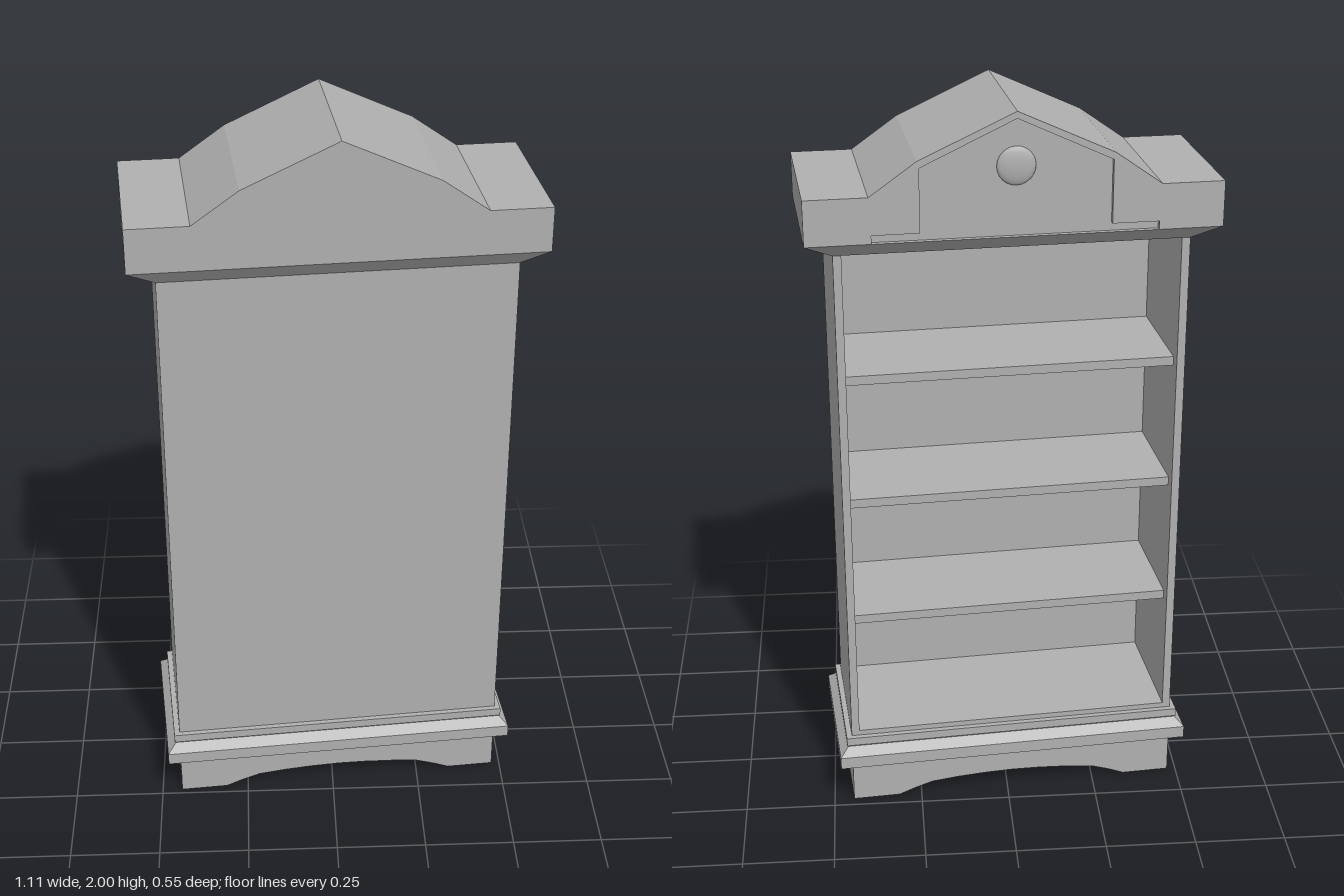
import * as THREE from 'three';

// Body limits: half width, back plane (open side) and front plane (closed side)
const HW = 0.462, ZB = -0.182, ZF = 0.195;
const CW = 0.535, CD = 0.226; // crown half width and half depth

export function createModel() {
  const model = new THREE.Group();
  const cabinet = new THREE.Group();
  cabinet.name = 'bookcase';
  cabinet.rotation.y = 0.0873; // the whole piece stands slightly turned
  model.add(cabinet);

  const grey = new THREE.MeshStandardMaterial({ color: 0xb0b0b0 });
  grey.name = 'grey';

  function add(name, geometry) {
    const mesh = new THREE.Mesh(geometry, grey);
    mesh.name = name;
    cabinet.add(mesh);
    return mesh;
  }

  function box(name, x0, x1, y0, y1, z0, z1) {
    const g = new THREE.BoxGeometry(x1 - x0, y1 - y0, z1 - z0);
    g.translate((x0 + x1) / 2, (y0 + y1) / 2, (z0 + z1) / 2);
    return add(name, g);
  }

  // Extrude an outline in x/y between two depths
  function slab(name, points, z0, z1) {
    const shape = new THREE.Shape(points.map(([x, y]) => new THREE.Vector2(x, y)));
    const g = new THREE.ExtrudeGeometry(shape, { depth: z1 - z0, bevelEnabled: false });
    g.translate(0, 0, z0);
    return add(name, g);
  }

  // Stack of rectangular sections [y, halfWidth, back, front]
  function stack(name, sections) {
    const pos = [];
    const rings = sections.map(([y, w, b, f]) => [[-w, y, f], [w, y, f], [w, y, b], [-w, y, b]]);
    const quad = (a, b, c, d) => [a, b, c, a, c, d].forEach(p => pos.push(...p));
    for (let r = 0; r < rings.length - 1; r++) {
      const lo = rings[r], hi = rings[r + 1];
      for (let i = 0; i < 4; i++) {
        const j = (i + 1) % 4;
        quad(lo[i], lo[j], hi[j], hi[i]);
      }
    }
    const top = rings[rings.length - 1], bottom = rings[0];
    quad(top[0], top[1], top[2], top[3]);
    quad(bottom[3], bottom[2], bottom[1], bottom[0]);
    const g = new THREE.BufferGeometry();
    g.setAttribute('position', new THREE.Float32BufferAttribute(pos, 3));
    g.computeVertexNormals();
    return add(name, g);
  }

  // Mirror the right half of an outline onto the left
  const mirrored = half => [...half, ...half.slice().reverse().filter(p => p[0] !== 0).map(([x, y]) => [-x, y])];

  // Plinth with a shaped arch running through its depth
  const arch = [[0.33, 0], [0.29, 0.016], [0.235, 0.034], [0.16, 0.042], [0.08, 0.047], [0, 0.049]];
  const foot = [...arch].reverse().concat([[HW, 0], [HW, 0.13]]);
  slab('plinth', mirrored(foot), ZB, ZF);

  // Base moulding around the foot of the body
  const profile = [[0.13, 0.036], [0.165, 0.036], [0.188, 0.012], [0.192, 0.015], [0.215, 0.015]];
  stack('baseMoulding', profile.map(([y, e]) => [y, HW + e, ZB - e, ZF + e]));

  // Carcass: closed front, two sides and the floor
  box('closedPanel', -HW, HW, 0.2, 1.65, ZF - 0.03, ZF);
  box('rightSide', -HW, -HW + 0.022, 0.2, 1.65, ZB, ZF - 0.03);
  box('leftSide', HW - 0.022, HW, 0.2, 1.65, ZB, ZF - 0.03);
  box('floor', -HW + 0.022, HW - 0.022, 0.2, 0.23, ZB, ZF - 0.03);

  // Shelves, set back a little from the open side
  for (let i = 1; i <= 3; i++) {
    const y = 0.225 + 0.357 * i;
    box('shelf' + i, -HW + 0.022, HW - 0.022, y - 0.025, y, ZB + 0.036, ZF - 0.03);
  }

  // Sloped underside of the crown
  stack('crownMoulding', [[1.64, HW, ZB, ZF], [1.68, CW, -CD, CD]]);

  // Crown block and gabled top in one outline
  const roof = [[CW, 1.68], [CW, 1.8], [0.372, 1.8], [0.25, 1.886], [0, 2]];
  slab('crown', mirrored(roof), -CD + 0.014, CD);

  // Thin border layer leaving a stepped, gabled recess on the open side
  const recess = [[0, 1.982], [0.245, 1.868], [0.245, 1.702], [0.367, 1.702], [0.367, 1.68]];
  const left = roof.map(([x, y]) => [-x, y]).slice(0, -1).reverse();
  const recessLeft = recess.map(([x, y]) => [-x, y]).slice(1).reverse();
  slab('crownBorder', [...roof, ...left, ...recessLeft, ...recess], -CD, -CD + 0.014);

  // Small shallow boss in the recess
  const boss = add('boss', new THREE.SphereGeometry(0.05, 20, 12));
  boss.scale.set(1, 1, 0.25);
  boss.position.set(0, 1.86, -CD + 0.014);

  return model;
}
